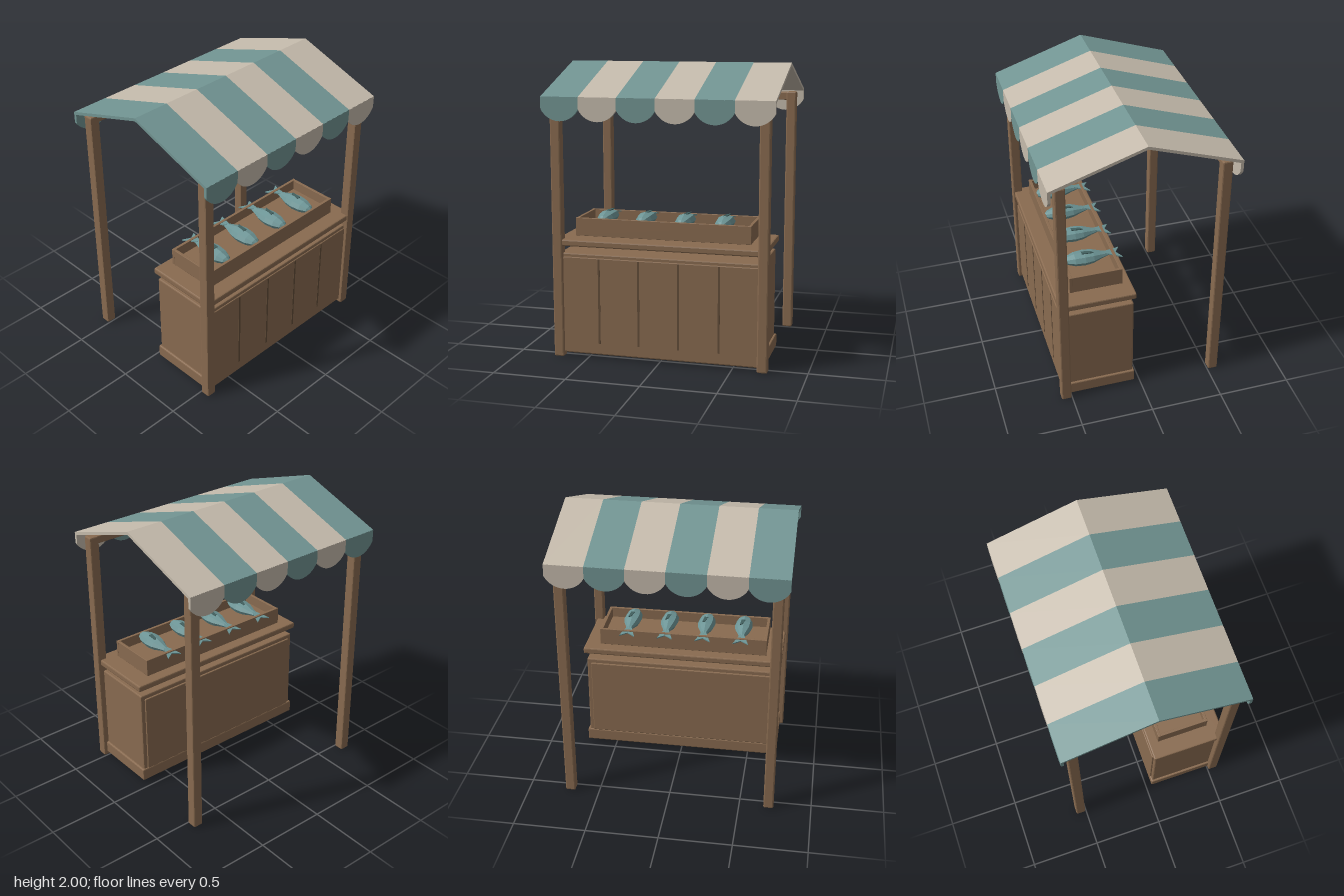
import * as THREE from 'three';
import { RoundedBoxGeometry } from 'three/addons/geometries/RoundedBoxGeometry.js';

const mat = (name, color, side = THREE.FrontSide) => {
  const m = new THREE.MeshStandardMaterial({ color, side });
  m.name = name;
  return m;
};

export function createModel() {
  const wood = mat('wood', 0x896b50);
  const darkWood = mat('dark wood', 0x634d39);
  const teal = mat('teal cloth', 0x729593);
  const cream = mat('cream cloth', 0xc5bbac);
  const fishSkin = mat('fish skin', 0x6d9596, THREE.DoubleSide);
  const fishFin = mat('fish fin', 0x42605f, THREE.DoubleSide);

  const model = new THREE.Group();
  model.name = 'marketStall';

  const add = (name, geometry, material, parent = model) => {
    const mesh = new THREE.Mesh(geometry, material);
    mesh.name = name;
    parent.add(mesh);
    return mesh;
  };
  const flat = (geometry) => {
    const g = geometry.index ? geometry.toNonIndexed() : geometry;
    g.computeVertexNormals();
    return g;
  };
  // Chamfered board given by its limits on each axis
  const board = (name, [x0, x1], [y0, y1], [z0, z1], bevel = 0.006, material = wood, parent = model) => {
    const g = flat(new RoundedBoxGeometry(x1 - x0, y1 - y0, z1 - z0, 1, bevel));
    g.translate((x0 + x1) / 2, (y0 + y1) / 2, (z0 + z1) / 2);
    return add(name, g, material, parent);
  };

  // Four posts and the two beams under the eaves
  for (const s of [-1, 1]) {
    for (const t of [-1, 1]) {
      const x = s * 0.705, z = t * 0.54;
      board('post', [x - 0.035, x + 0.035], [0.005, 1.77], [z - 0.035, z + 0.035], 0.009);
    }
    board('eaveBeam', [-0.69, 0.69], [1.71, 1.765], [s * 0.55 - 0.033, s * 0.55 + 0.033]);
  }

  // Counter
  board('counterBody', [-0.7, 0.7], [0.05, 0.73], [0.052, 0.545], 0.008);
  board('counterPlinth', [-0.715, 0.715], [0.03, 0.12], [0.042, 0.55], 0.008);
  board('counterFront', [-0.69, 0.69], [0.035, 0.705], [0.53, 0.552], 0.005);
  board('counterBackPanel', [-0.67, 0.67], [0.12, 0.7], [0.04, 0.06], 0.005);
  board('counterTop', [-0.72, 0.72], [0.78, 0.825], [0.036, 0.565], 0.009);
  for (let i = 0; i < 4; i++) {
    const x = -0.417 + i * 0.276;
    const groove = new THREE.BoxGeometry(0.014, 0.59, 0.004);
    groove.translate(x, 0.405, 0.552);
    add('plankGroove', groove, darkWood);
  }

  // Open crate
  const crate = new THREE.Group();
  crate.name = 'crate';
  model.add(crate);
  for (const z of [0.1, 0.445]) board('crateLongSide', [-0.608, 0.605], [0.837, 0.96], [z, z + 0.02], 0.002, wood, crate);
  for (const x of [-0.607, 0.584]) board('crateEnd', [x, x + 0.02], [0.838, 0.959], [0.11, 0.455], 0.002, wood, crate);
  board('crateFloor', [-0.595, 0.595], [0.84, 0.885], [0.11, 0.455], 0.002, wood, crate);

  // Fish lying with heads to the front
  const profile = [[0.012, 0.13], [0.032, 0.19], [0.056, 0.25], [0.065, 0.31], [0.058, 0.38], [0.036, 0.43], [0.001, 0.46]]
    .map(([r, z]) => new THREE.Vector2(r, z));
  const bodyGeo = new THREE.LatheGeometry(profile, 8);
  bodyGeo.rotateX(Math.PI / 2);
  bodyGeo.scale(1, 0.72, 1);
  const tailShape = new THREE.Shape([[-0.012, 0.17], [0.012, 0.17], [0.055, 0.055], [0, 0.09], [-0.055, 0.055]]
    .map(([x, z]) => new THREE.Vector2(x, -z)));
  const tailGeo = new THREE.ExtrudeGeometry(tailShape, { depth: 0.008, bevelEnabled: false });
  tailGeo.rotateX(-Math.PI / 2);
  tailGeo.translate(0, 0.004, -0.15).rotateX(-0.18).translate(0, 0, 0.15);
  const finShape = new THREE.Shape([[-0.01, -0.33], [0.018, -0.33], [0.024, -0.25], [0.004, -0.265]]
    .map(([x, z]) => new THREE.Vector2(x, z)));
  const finGeo = new THREE.ExtrudeGeometry(finShape, { depth: 0.006, bevelEnabled: false });
  finGeo.rotateX(-Math.PI / 2).translate(0, 0.042, 0);
  for (let i = 0; i < 4; i++) {
    const fish = new THREE.Group();
    fish.name = 'fish';
    fish.position.set(-0.422 + i * 0.274, 0.95, 0);
    model.add(fish);
    add('fishBody', flat(bodyGeo), fishSkin, fish);
    add('fishTail', tailGeo, fishSkin, fish);
    add('fishFin', finGeo, fishFin, fish);
  }

  // Striped canopy: gabled strips with a scalloped valance on both eaves
  const w = 0.26;
  const gable = new THREE.Shape([[-0.625, 1.79], [-0.625, 1.768], [0, 1.979], [0.625, 1.768], [0.625, 1.79], [0, 2]]
    .map(([z, y]) => new THREE.Vector2(z, y)));
  const gableGeo = new THREE.ExtrudeGeometry(gable, { depth: w, bevelEnabled: false });
  gableGeo.rotateY(Math.PI / 2);
  const radius = 0.146, half = Math.asin(w / 2 / radius);
  const flap = new THREE.Shape();
  flap.moveTo(w, 1.789);
  flap.lineTo(0, 1.789);
  flap.lineTo(0, 1.71);
  flap.absarc(w / 2, 1.63 + radius, radius, -Math.PI / 2 - half, -Math.PI / 2 + half, false);
  flap.closePath();
  const flapGeo = new THREE.ExtrudeGeometry(flap, { depth: 0.02, bevelEnabled: false, curveSegments: 8 });
  for (let i = 0; i < 6; i++) {
    const cloth = i % 2 ? cream : teal;
    const x = -0.78 + i * w;
    add('canopyStripe', gableGeo, cloth).position.x = x;
    for (const z of [-0.626, 0.606]) add('valanceScallop', flapGeo, cloth).position.set(x, 0, z);
  }
  return model;
}
